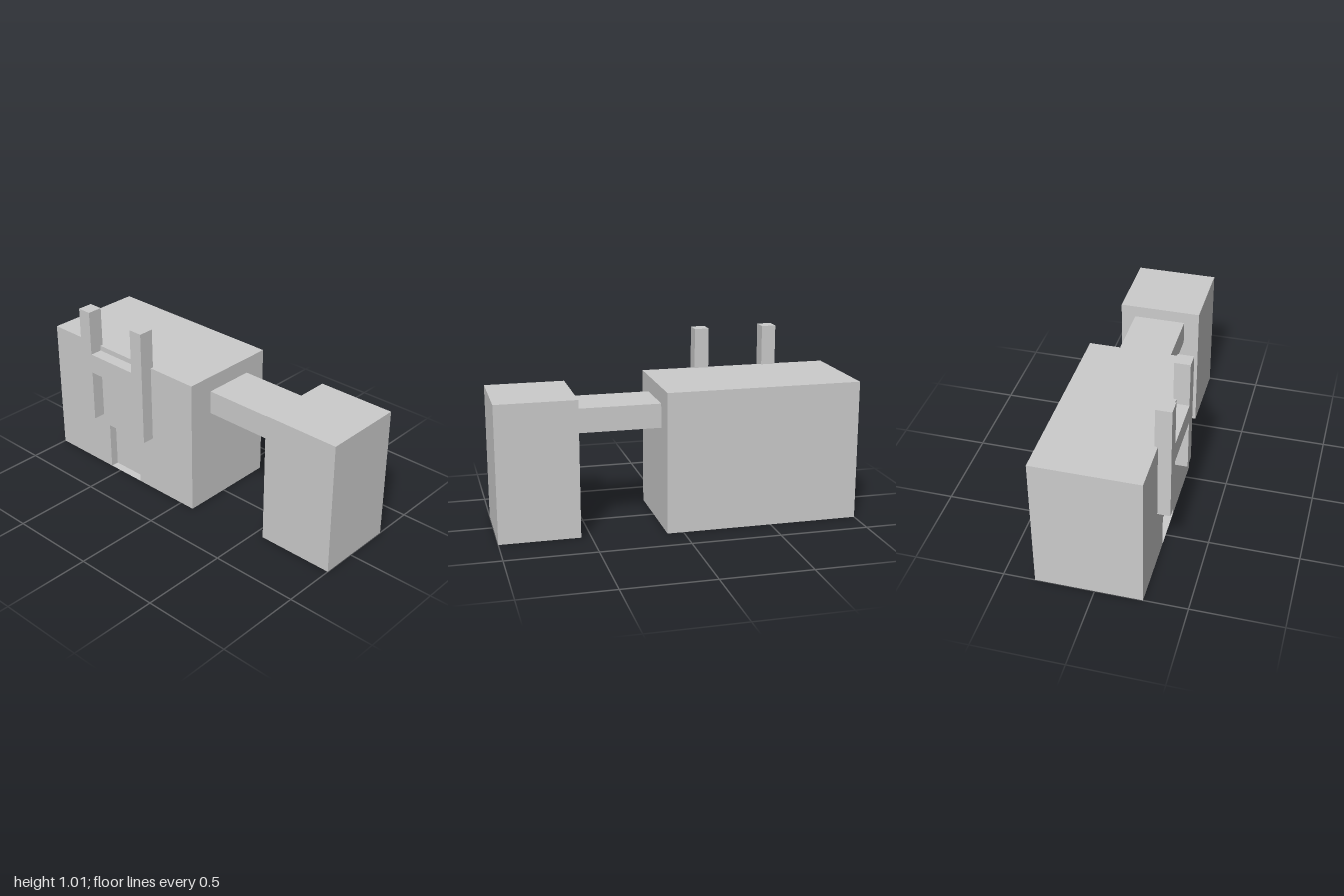
import * as THREE from 'three';

const material = new THREE.MeshStandardMaterial({ color: 0xcccccc, flatShading: true });
const innerMaterial = new THREE.MeshStandardMaterial({ color: 0xcccccc, flatShading: true, side: THREE.BackSide });

// Box given by its lower and upper limits on each axis
function boxGeometry([x0, x1], [y0, y1], [z0, z1]) {
  return new THREE.BoxGeometry(x1 - x0, y1 - y0, z1 - z0)
    .translate((x0 + x1) / 2, (y0 + y1) / 2, (z0 + z1) / 2);
}

// Drops the face that looks towards -x
function openSide(geometry) {
  const index = Array.from(geometry.index.array);
  index.splice(6, 6);
  geometry.setIndex(index);
  geometry.clearGroups();
  return geometry;
}

export function createModel() {
  const group = new THREE.Group();
  const add = (name, geometry, mat = material) => {
    const mesh = new THREE.Mesh(geometry, mat);
    mesh.name = name;
    group.add(mesh);
  };

  // Main hall, with a shallow doorway recessed into its -x wall
  const wallX = -0.26, top = 0.785, back = -1, front = 0.09;
  const door = { z0: -0.575, z1: -0.33, height: 0.28, depth: 0.046 };
  add('mainHall', openSide(boxGeometry([wallX, 0.325], [0, top], [back, front])));

  const wall = new THREE.Shape([
    [back, 0], [door.z0, 0], [door.z0, door.height], [door.z1, door.height],
    [door.z1, 0], [front, 0], [front, top], [back, top],
  ].map(([z, y]) => new THREE.Vector2(z, y)));
  add('doorWall', new THREE.ShapeGeometry(wall).rotateY(-Math.PI / 2).translate(wallX, 0, 0));
  add('doorRecess', openSide(boxGeometry(
    [wallX, wallX + door.depth], [0, door.height], [door.z0, door.z1])), innerMaterial);

  // Front annex and the raised passage joining it to the hall
  add('frontAnnex', boxGeometry([-0.197, 0.27], [0, 0.763], [0.555, 1]));
  add('passage', boxGeometry([-0.11, 0.187], [0.56, 0.695], [front, 0.555]));

  // Two posts and a crossbar above the doorway
  for (const z of [-0.704, -0.298]) {
    add('post', boxGeometry([-0.33, -0.243], [0.338, 1.013], [z, z + 0.082]));
  }
  add('crossbar', boxGeometry([-0.33, wallX], [0.64, 0.755], [-0.622, -0.298]));

  return group;
}
